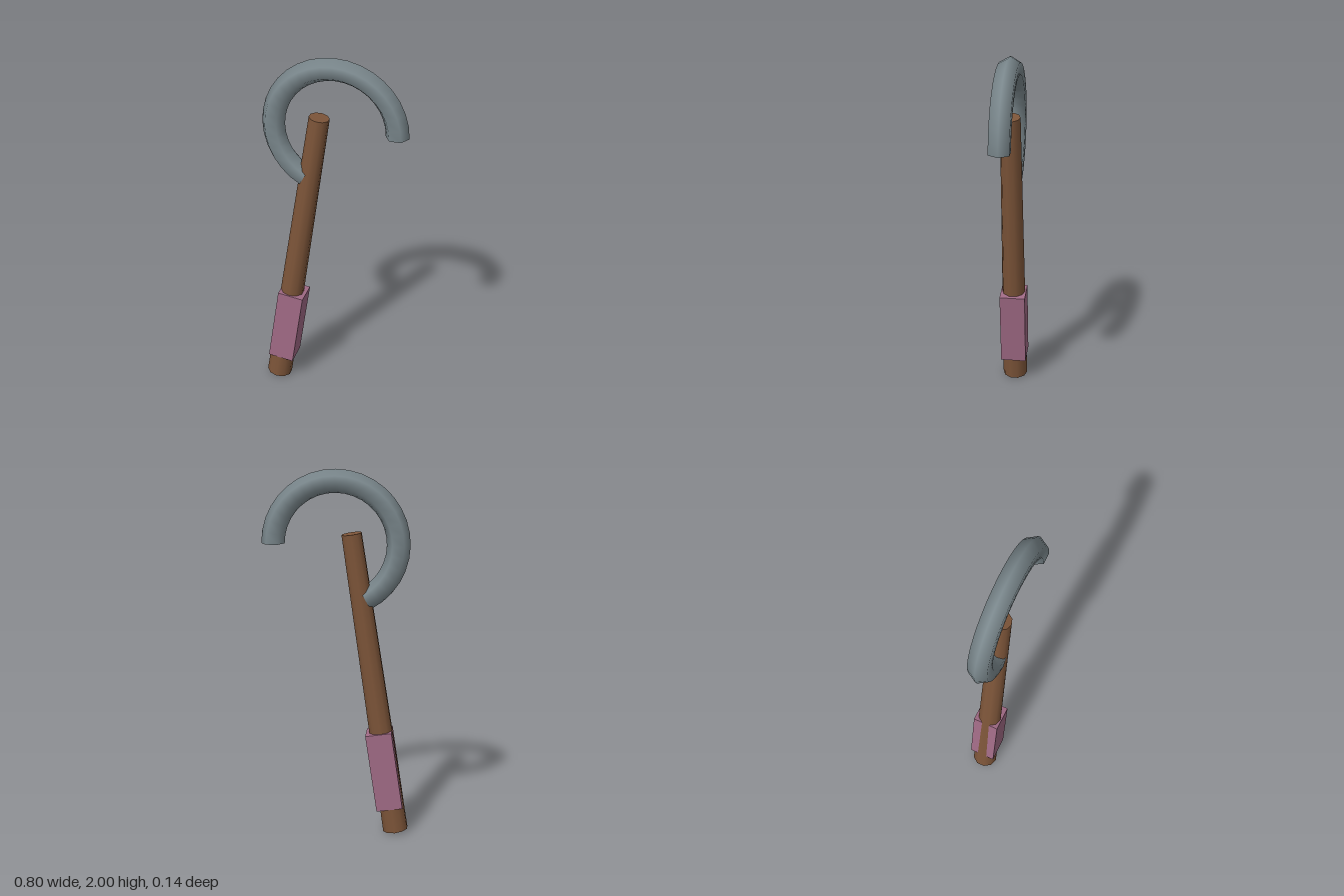
import * as THREE from 'three';

const TILT = -0.15; // lean of the shaft towards +x

function part(name, geometry, color, x, y, tilt = 0) {
  const material = new THREE.MeshStandardMaterial({ color });
  const mesh = new THREE.Mesh(geometry, material);
  mesh.name = name;
  mesh.position.set(x, y, 0);
  mesh.rotation.z = tilt;
  return mesh;
}

export function createModel() {
  const group = new THREE.Group();
  group.name = 'hookedStick';

  // tapered ten-sided wooden shaft
  const shaft = new THREE.CylinderGeometry(0.055, 0.07, 1.67, 10);
  group.add(part('shaft', shaft, 0x7d5539, -0.209, 0.836, TILT));

  // square grip wrapped around the lower shaft, slightly off its axis
  const grip = new THREE.BoxGeometry(0.1425, 0.436, 0.1425);
  group.add(part('grip', grip, 0xa06a85, -0.2705, 0.361, TILT));

  // open-ended six-sided hook, from the free tip round to the shaft
  const hook = new THREE.TorusGeometry(0.333, 0.0625, 6, 24, 4.2);
  const hookMesh = part('hook', hook, 0x7a878c, 0, 1.605);
  hookMesh.material.side = THREE.DoubleSide;
  group.add(hookMesh);

  return group;
}
